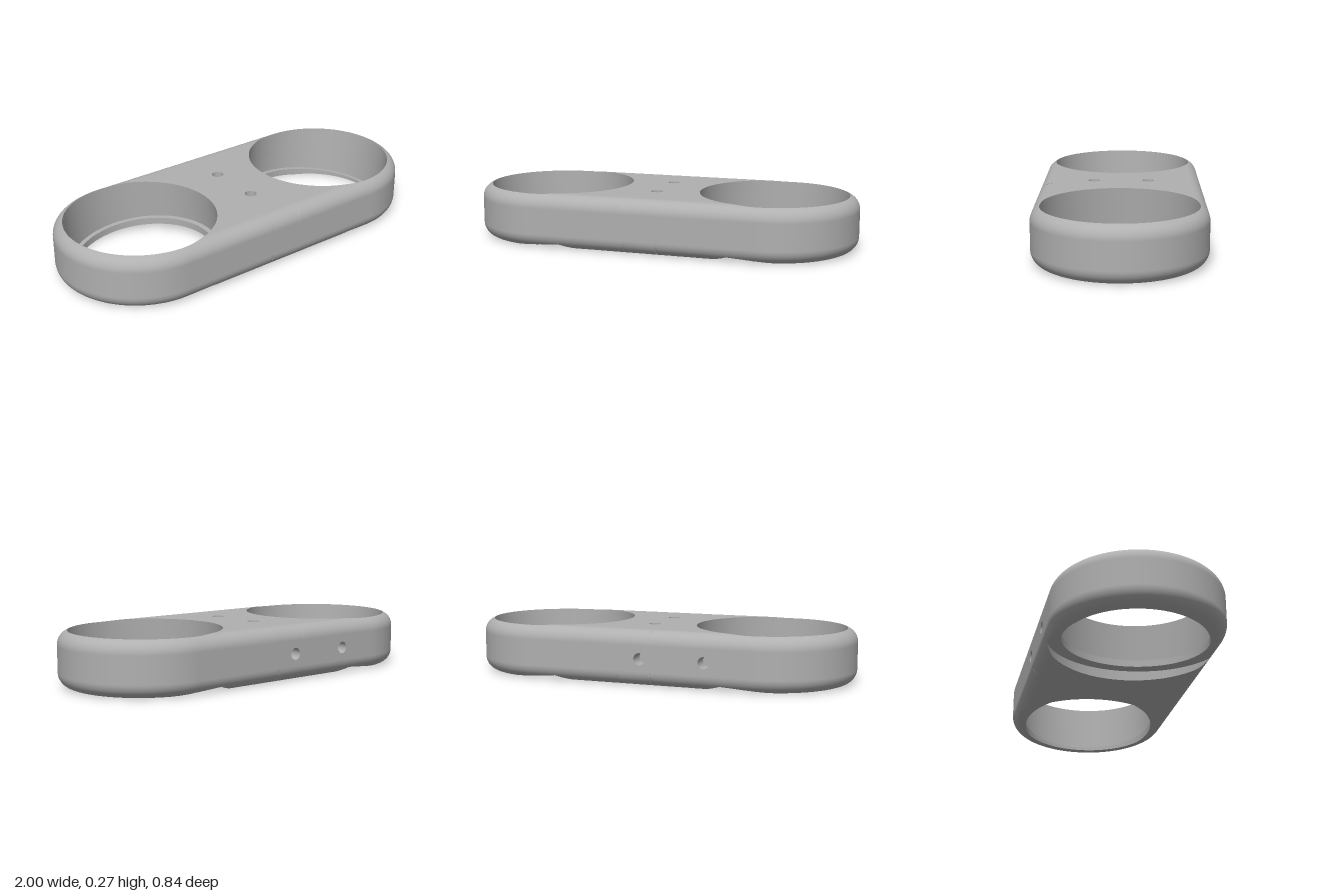
import * as THREE from 'three';

const H = 0.274, HALF = 0.42, END = 0.58, FILLET = 0.07, MID = 0.08, TILT = 0.09;
const BORE_R = 0.375, BORE_X = 0.575, LIP_R = 0.35, LOW_X = 0.553, RECESS_R = 0.42;

// Height lost to the rounded edge at a plan position
function edgeDrop(x, z) {
  const d = HALF - (x > END ? Math.hypot(x - END, z) : Math.abs(z));
  const k = Math.min(FILLET, Math.max(0, FILLET - d));
  return FILLET - Math.sqrt(FILLET * FILLET - k * k);
}
const topY = (x, z) => H - edgeDrop(x, z);
const bottomY = (x, z) => edgeDrop(x, z);
const tiltedY = (x) => TILT * (0.7 - x); // plane square to the tilted bore
const recessY = (x, z) => Math.max(bottomY(x, z), tiltedY(x));
const lipY = (x) => tiltedY(x) + 0.035;

// Distance from (cx, 0) to the edge of one half of the body
function reach(cx, a) {
  const c = Math.cos(a), s = Math.sin(a);
  let t = HALF / Math.max(Math.abs(s), 1e-9);
  if (c < 0) t = Math.min(t, (cx - MID) / -c);
  if (cx + t * c > END) {
    const o = cx - END;
    t = -o * c + Math.sqrt(o * o * c * c - o * o + HALF * HALF);
  }
  return t;
}

// Angles around a centre, with the body corners included
function anglesFor(cx) {
  const list = Array.from({ length: 361 }, (_, i) => (i / 360) * Math.PI * 2);
  const corner = Math.atan2(HALF, MID - cx);
  return list.concat(corner, Math.PI * 2 - corner).sort((a, b) => a - b);
}

// Surface through a grid of points
function grid(rows, cols, fn) {
  const pos = [], index = [], w = cols + 1;
  for (let i = 0; i <= rows; i++) for (let j = 0; j <= cols; j++) pos.push(...fn(i, j));
  for (let i = 0; i < rows; i++) for (let j = 0; j < cols; j++) {
    const a = i * w + j;
    index.push(a, a + w, a + 1, a + 1, a + w, a + w + 1);
  }
  const g = new THREE.BufferGeometry();
  g.setAttribute('position', new THREE.Float32BufferAttribute(pos, 3));
  g.setIndex(index);
  g.computeVertexNormals();
  return g;
}

// Skin around a bore, from an inner radius to an outer radius rule
function skin(side, cx, inner, outer, height, steps = 20) {
  const angles = anglesFor(cx);
  return grid(angles.length - 1, steps, (i, j) => {
    const a = angles[i], u = 1 - (1 - j / steps) ** 2;
    const r = inner + (Math.max(inner, outer(a)) - inner) * u;
    const x = cx + r * Math.cos(a), z = r * Math.sin(a);
    return [side * x, height(x, z), z];
  });
}

// Wall joining two circles whose heights follow a rule
function ringWall(side, lower, upper) {
  return grid(180, 1, (i, j) => {
    const [cx, r, height] = j ? upper : lower, a = (i / 180) * Math.PI * 2;
    const x = cx + r * Math.cos(a), z = r * Math.sin(a);
    return [side * x, height(x, z), z];
  });
}

// Flat rectangle pierced by round holes
function piercedPlate(x0, x1, y0, y1, holes, r) {
  const s = new THREE.Shape([[x0, y0], [x1, y0], [x1, y1], [x0, y1]].map((p) => new THREE.Vector2(...p)));
  for (const [x, y] of holes) s.holes.push(new THREE.Path().absarc(x, y, r, 0, Math.PI * 2, true));
  return new THREE.ShapeGeometry(s, 24);
}

export function createModel() {
  const group = new THREE.Group();
  const grey = new THREE.MeshStandardMaterial({ color: 0xb0b0b0, side: THREE.DoubleSide });
  const add = (name, geometry, parent = group) => {
    const m = new THREE.Mesh(geometry, grey);
    m.name = name;
    parent.add(m);
    return m;
  };

  for (const side of [1, -1]) {
    const half = new THREE.Group();
    half.name = side > 0 ? 'leftRing' : 'rightRing';
    group.add(half);
    // Top and underside with rounded edges
    add('topSkin', skin(side, BORE_X, BORE_R, (a) => reach(BORE_X, a), topY), half);
    add('bottomSkin', skin(side, LOW_X, RECESS_R, (a) => reach(LOW_X, a), bottomY), half);
    // Slanted recess under the bore
    add('recessFloor', skin(side, LOW_X, LIP_R, (a) => Math.min(RECESS_R, reach(LOW_X, a)), recessY), half);
    add('recessWall', ringWall(side, [LOW_X, RECESS_R, bottomY], [LOW_X, RECESS_R, recessY]), half);
    // Tilted bore and the narrow lip at its foot
    add('boreWall', ringWall(side, [LOW_X, BORE_R, lipY], [BORE_X, BORE_R, topY]), half);
    add('lipLedge', ringWall(side, [LOW_X, LIP_R, lipY], [LOW_X, BORE_R, lipY]), half);
    add('lipWall', ringWall(side, [LOW_X, LIP_R, recessY], [LOW_X, LIP_R, lipY]), half);
    // Rounded end wall
    add('endWall', grid(96, 1, (i, j) => {
      const a = (i / 96 - 0.5) * Math.PI;
      return [side * (END + HALF * Math.cos(a)), j ? H - FILLET : FILLET, HALF * Math.sin(a)];
    }), half);
  }

  // Bridge between the rings
  const holeR = 0.03, topHoles = [[0, 0.14], [0, -0.14]], flat = HALF - FILLET;
  const bridgeTop = add('bridgeTop', piercedPlate(-MID, MID, -flat, flat, topHoles, holeR));
  bridgeTop.rotation.x = -Math.PI / 2;
  bridgeTop.position.y = H;
  const bottomStrip = piercedPlate(-MID, MID, -flat, flat, [], 0);
  add('bridgeBottom', bottomStrip).rotation.x = Math.PI / 2;
  for (const s of [1, -1]) for (const up of [true, false]) {
    add('bridgeEdge', grid(16, 1, (i, j) => {
      const a = (i / 16) * Math.PI / 2, h = FILLET * (1 - Math.cos(a));
      return [j ? MID : -MID, up ? H - h : h, s * (flat + FILLET * Math.sin(a))];
    }));
  }

  // Straight front and back walls
  const backHoles = [[0.03, 0.135], [0.36, 0.135]];
  add('frontWall', piercedPlate(-END, END, FILLET, H - FILLET, [], 0)).position.z = HALF;
  const back = add('backWall', piercedPlate(-END, END, FILLET, H - FILLET, backHoles, holeR));
  back.rotation.y = Math.PI;
  back.position.z = -HALF;

  // Blind screw holes
  const depth = 0.08;
  const blindHole = (name, parent, [x, y]) => {
    const tube = new THREE.CylinderGeometry(holeR, holeR, depth, 24, 1, true);
    tube.rotateX(Math.PI / 2);
    add(name, tube, parent).position.set(x, y, -depth / 2);
    add(name + 'Floor', new THREE.CircleGeometry(holeR, 24), parent).position.set(x, y, -depth);
  };
  topHoles.forEach((p) => blindHole('topHole', bridgeTop, p));
  backHoles.forEach((p) => blindHole('backHole', back, p));
  return group;
}
